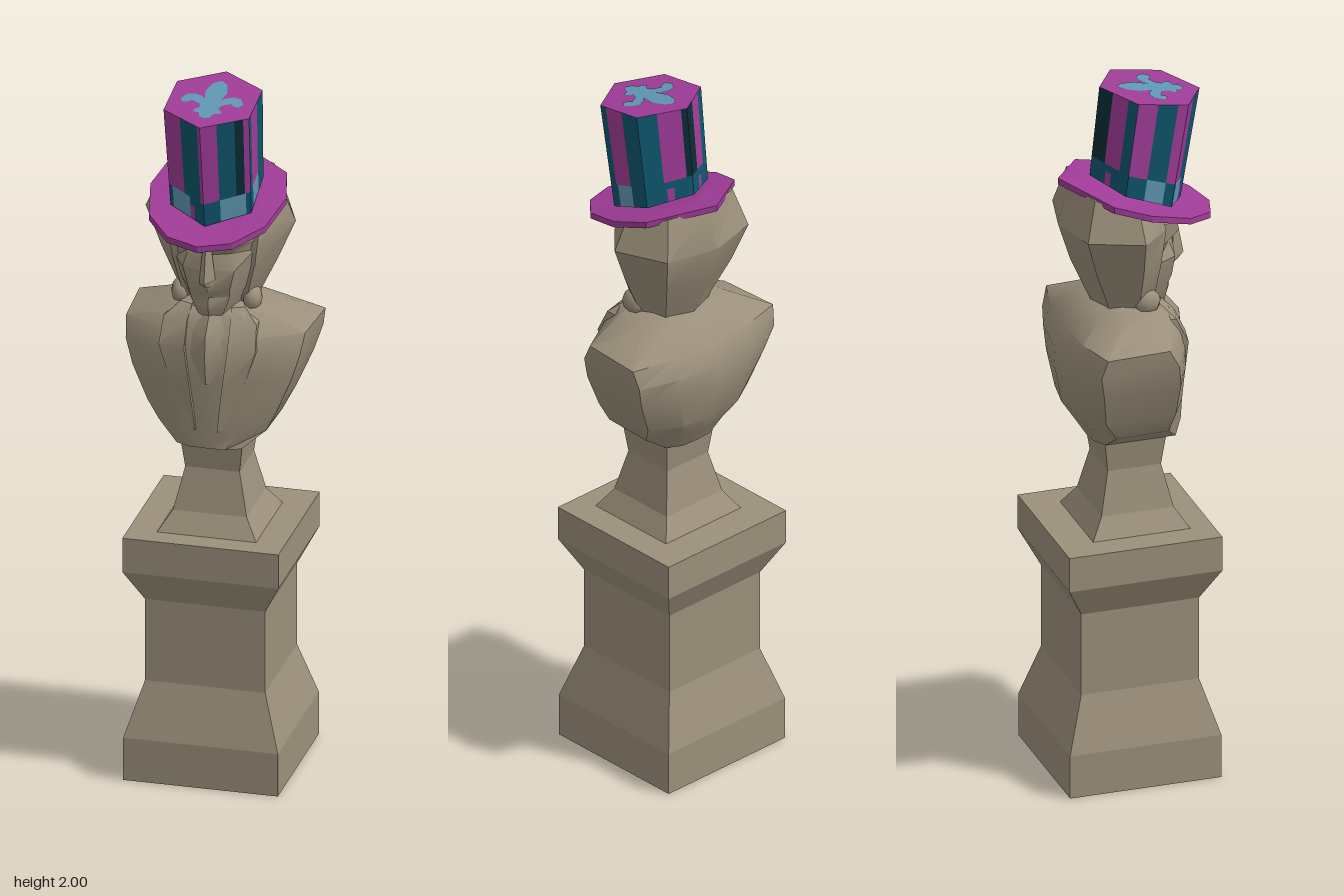
import * as THREE from 'three';
import { toCreasedNormals } from 'three/addons/utils/BufferGeometryUtils.js';

function material(name, color) {
  const m = new THREE.MeshStandardMaterial({ color });
  m.name = name;
  return m;
}

// Triangles (lists of three [x,y,z] corners) to a geometry; crease 0 gives flat faces
function fromTriangles(tris, crease = 0) {
  const g = new THREE.BufferGeometry();
  g.setAttribute('position', new THREE.Float32BufferAttribute(tris.flat(2), 3));
  g.computeVertexNormals();
  return crease ? toCreasedNormals(g, crease) : g;
}

// Skin closed rings, counter-clockwise seen from above, listed bottom to top
function loft(rings, crease = 0) {
  const tris = [], n = rings[0].length;
  for (let r = 0; r + 1 < rings.length; r++) {
    const a = rings[r], b = rings[r + 1];
    for (let i = 0; i < n; i++) {
      const j = (i + 1) % n;
      tris.push([a[i], a[j], b[j]], [a[i], b[j], b[i]]);
    }
  }
  const lo = rings[0], hi = rings[rings.length - 1];
  for (let i = 1; i + 1 < n; i++) {
    tris.push([lo[0], lo[i + 1], lo[i]], [hi[0], hi[i], hi[i + 1]]);
  }
  return fromTriangles(tris, crease);
}

// Half section of [x,z] pairs from front centre to back centre, mirrored into a ring
function ring(y, half, tilt = 0) {
  const mirrored = half.filter(p => p[0] > 0).reverse().map(([x, z]) => [-x, z]);
  return [...half, ...mirrored].map(([x, z]) => [x, y - tilt * z, z]);
}

// Square-section tower from [y, half width] pairs
function squareTower(profile, cz) {
  return loft(profile.map(([y, h]) =>
    [[-h, y, cz + h], [h, y, cz + h], [h, y, cz - h], [-h, y, cz - h]]));
}

export function createModel() {
  const root = new THREE.Group();
  root.name = 'bustOnPedestal';
  const stone = material('stone', 0x9c907b);
  const purple = material('purple', 0xa03c98);
  const teal = material('teal', 0x0f566c);
  const darkTeal = material('darkTeal', 0x0b2c36);
  const lightBlue = material('lightBlue', 0x5f98b4);
  const add = (name, geo, mat, parent = root) => {
    const m = new THREE.Mesh(geo, mat);
    m.name = name;
    parent.add(m);
    return m;
  };

  // Pedestal and the waisted socle above it
  add('pedestal', squareTower([[0, 0.216], [0.125, 0.216], [0.28, 0.168],
    [0.52, 0.168], [0.615, 0.218], [0.715, 0.218]], -0.018), stone);
  add('socle', squareTower([[0.71, 0.142], [0.77, 0.103], [0.89, 0.076], [0.985, 0.088]], -0.003), stone);

  // Shoulders and chest, cut flat at the arms
  add('torso', loft([
    ring(0.975, [[0, 0.13], [0.05, 0.128], [0.09, 0.11], [0.09, -0.09], [0.05, -0.113], [0, -0.116]]),
    ring(1.02, [[0, 0.135], [0.08, 0.128], [0.15, 0.07], [0.155, -0.08], [0.08, -0.13], [0, -0.145]]),
    ring(1.08, [[0, 0.135], [0.09, 0.128], [0.18, 0.08], [0.185, -0.12], [0.1, -0.17], [0, -0.185]]),
    ring(1.18, [[0, 0.14], [0.1, 0.135], [0.222, 0.08], [0.228, -0.14], [0.13, -0.185], [0, -0.203]]),
    ring(1.25, [[0, 0.14], [0.11, 0.133], [0.243, 0.07], [0.25, -0.155], [0.14, -0.19], [0, -0.207]]),
    ring(1.305, [[0, 0.13], [0.11, 0.12], [0.25, 0.04], [0.26, -0.14], [0.14, -0.17], [0, -0.18]]),
    ring(1.36, [[0, 0.1], [0.09, 0.09], [0.14, 0.04], [0.155, -0.06], [0.1, -0.11], [0, -0.13]]),
    ring(1.385, [[0, 0.05], [0.06, 0.045], [0.08, 0.02], [0.08, -0.04], [0.05, -0.07], [0, -0.08]]),
  ], 0.6), stone);

  // Coat lapels: [y, inner x, outer x, front z], mirrored to both sides
  const lapel = [[1.03, 0.03, 0.05, 0.141], [1.16, 0.045, 0.1, 0.149],
    [1.27, 0.06, 0.135, 0.148], [1.34, 0.06, 0.13, 0.115], [1.375, 0.055, 0.09, 0.08]];
  for (const s of [1, -1]) {
    const rings = lapel.map(([y, a, b, z]) => {
      const r = [[s * a, y, z], [s * b, y, z - 0.016], [s * b, y, z - 0.06], [s * a, y, z - 0.05]];
      return s > 0 ? r : r.reverse();
    });
    add(s > 0 ? 'leftLapel' : 'rightLapel', loft(rings, 0.5), stone);
  }

  // Gathered cravat under the chin
  add('cravat', loft([
    ring(1.17, [[0, 0.145], [0.012, 0.14], [0, 0.1]]),
    ring(1.25, [[0, 0.156], [0.045, 0.138], [0, 0.08]]),
    ring(1.31, [[0, 0.15], [0.06, 0.115], [0, 0.05]]),
    ring(1.37, [[0, 0.1], [0.055, 0.075], [0, 0]]),
  ], 0.5), stone);

  const neck = new THREE.CylinderGeometry(0.07, 0.08, 0.12, 8);
  neck.translate(0, 1.37, -0.01);
  add('neck', neck, stone);

  // Head: face, nose and swept-back hair
  const head = new THREE.Group();
  head.name = 'head';
  root.add(head);
  add('face', loft([
    ring(1.35, [[0, 0.105], [0.03, 0.095], [0.05, 0.05], [0, -0.02]]),
    ring(1.385, [[0, 0.122], [0.045, 0.1], [0.072, 0.04], [0, -0.02]]),
    ring(1.415, [[0, 0.115], [0.055, 0.1], [0.085, 0.04], [0, -0.02]]),
    ring(1.44, [[0, 0.132], [0.058, 0.11], [0.095, 0.045], [0, -0.02]]),
    ring(1.5, [[0, 0.128], [0.072, 0.115], [0.11, 0.05], [0, -0.02]]),
    ring(1.545, [[0, 0.126], [0.06, 0.1], [0.115, 0.055], [0, -0.02]]),
    ring(1.575, [[0, 0.143], [0.07, 0.125], [0.12, 0.06], [0, -0.02]]),
    ring(1.625, [[0, 0.145], [0.08, 0.12], [0.125, 0.06], [0, -0.02]], 0.1),
  ], 0.5), stone, head);
  add('nose', loft([
    ring(1.455, [[0, 0.145], [0.024, 0.12], [0, 0.1]]),
    ring(1.475, [[0, 0.163], [0.022, 0.125], [0, 0.1]]),
    ring(1.57, [[0, 0.145], [0.012, 0.13], [0, 0.1]]),
  ]), stone, head);
  add('hair', loft([
    ring(1.355, [[0, 0.02], [0.07, 0.03], [0.095, -0.01], [0.075, -0.07], [0, -0.095]]),
    ring(1.4, [[0, 0.04], [0.09, 0.05], [0.115, 0], [0.085, -0.085], [0, -0.115]]),
    ring(1.5, [[0, 0.06], [0.115, 0.06], [0.163, -0.005], [0.12, -0.125], [0, -0.16]]),
    ring(1.61, [[0, 0.08], [0.13, 0.07], [0.21, -0.015], [0.15, -0.16], [0, -0.195]]),
    ring(1.68, [[0, 0.06], [0.11, 0.06], [0.175, -0.02], [0.12, -0.13], [0, -0.165]], 0.31),
  ], 0.6), stone, head);
  for (const s of [1, -1]) {
    const curl = new THREE.SphereGeometry(0.03, 8, 6);
    curl.scale(0.9, 1.2, 1.3);
    curl.translate(s * 0.1, 1.39, 0.025);
    add(s > 0 ? 'leftCurl' : 'rightCurl', curl, stone, head);
  }

  // Hat: tilted brim
  const hat = new THREE.Group();
  hat.name = 'topHat';
  root.add(hat);
  const brim = [[0, 0.237], [0.09, 0.21], [0.162, 0.13], [0.19, 0.01], [0.165, -0.09], [0, -0.195]];
  add('brim', loft([ring(1.67, brim, 0.3), ring(1.688, brim, 0.3),
    ring(1.69, brim.map(([x, z]) => [x * 0.6, z * 0.6]), 0.34)]), purple, hat);

  // Six-sided crown; t runs round from the front corner, v from bottom to top
  const crownCorner = (k, v) => {
    const a = k * Math.PI / 3, s = Math.sin(a), c = Math.cos(a);
    const zb = 0.025 + 0.13 * c, zt = 0.066 + 0.143 * c;
    const low = new THREE.Vector3(0.13 * s, 1.692 - 0.385 * (zb - 0.025), zb);
    return low.lerp(new THREE.Vector3(0.138 * s, 1.978 - 0.157 * (zt - 0.066), zt), v);
  };
  const crownPoint = (k, f, v) => crownCorner(k, v).lerp(crownCorner(k + 1, v), f).toArray();
  const mats = { P: purple, T: teal, D: darkTeal, L: lightBlue };
  const faces = { P: [], T: [], D: [], L: [] };
  const paint = (k, pattern, v0, v1) => {
    let f = 0;
    for (const [end, col] of pattern) {
      const [a, b, c, d] = [[f, v0], [end, v0], [end, v1], [f, v1]].map(([u, v]) => crownPoint(k, u, v));
      faces[col].push([a, b, c], [a, c, d]);
      f = end;
    }
  };
  const stripes = [
    [[0.34, 'P'], [0.7, 'T'], [0.88, 'D'], [1, 'P']],
    [[0.15, 'T'], [0.58, 'P'], [1, 'T']],
    [[0.4, 'T'], [0.88, 'P'], [1, 'D']],
    [[0.35, 'D'], [0.75, 'P'], [1, 'T']],
    [[0.4, 'P'], [0.8, 'T'], [1, 'P']],
    [[0.45, 'P'], [0.92, 'T'], [1, 'P']],
  ];
  const bands = [
    [[0.35, 'T'], [0.9, 'L'], [1, 'T']],
    [[0.2, 'T'], [0.6, 'L'], [1, 'T']],
    [[0.45, 'T'], [0.6, 'P'], [1, 'T']],
    [[0.4, 'T'], [0.55, 'P'], [1, 'T']],
    [[0.4, 'T'], [0.8, 'L'], [1, 'T']],
    [[0.1, 'T'], [0.6, 'L'], [0.72, 'P'], [1, 'T']],
  ];
  for (let k = 0; k < 6; k++) {
    paint(k, bands[k], 0, 0.14);
    paint(k, bands[k].map(([e, c], i) => [e, c === 'L' && i === 1 && k % 2 ? 'L' : c === 'P' ? 'T' : c]), 0.14, 0.22);
    paint(k, stripes[k], 0.22, 1);
    faces.P.push([[0, 1.978, 0.066], crownPoint(k, 0, 1), crownPoint(k, 1, 1)]);
  }
  const names = { P: 'crownPurple', T: 'crownTealStripes', D: 'crownDarkStripes', L: 'crownBandPatches' };
  for (const c in faces) add(names[c], fromTriangles(faces[c]), mats[c], hat);

  // Lily ornament painted on the crown top
  const lily = [[0, -0.027], [0.02, -0.01], [0.031, 0.03], [0.022, 0.068], [0.035, 0.055], [0.055, 0.047],
    [0.075, 0.053], [0.088, 0.078], [0.078, 0.094], [0.062, 0.09], [0.055, 0.08], [0.032, 0.092],
    [0.025, 0.11], [0.04, 0.124], [0.034, 0.135], [0.02, 0.137], [0.015, 0.155], [0, 0.162]];
  const outline = [...lily, ...lily.slice(1, -1).reverse().map(([x, z]) => [-x, z])];
  const ornament = new THREE.ShapeGeometry(new THREE.Shape(outline.map(([x, z]) => new THREE.Vector2(x, -z))));
  const p = ornament.attributes.position;
  for (let i = 0; i < p.count; i++) {
    const z = -p.getY(i);
    p.setXYZ(i, p.getX(i), 1.98 - 0.157 * (z - 0.066), z);
  }
  ornament.computeVertexNormals();
  add('lilyOrnament', ornament, lightBlue, hat);

  return root;
}
